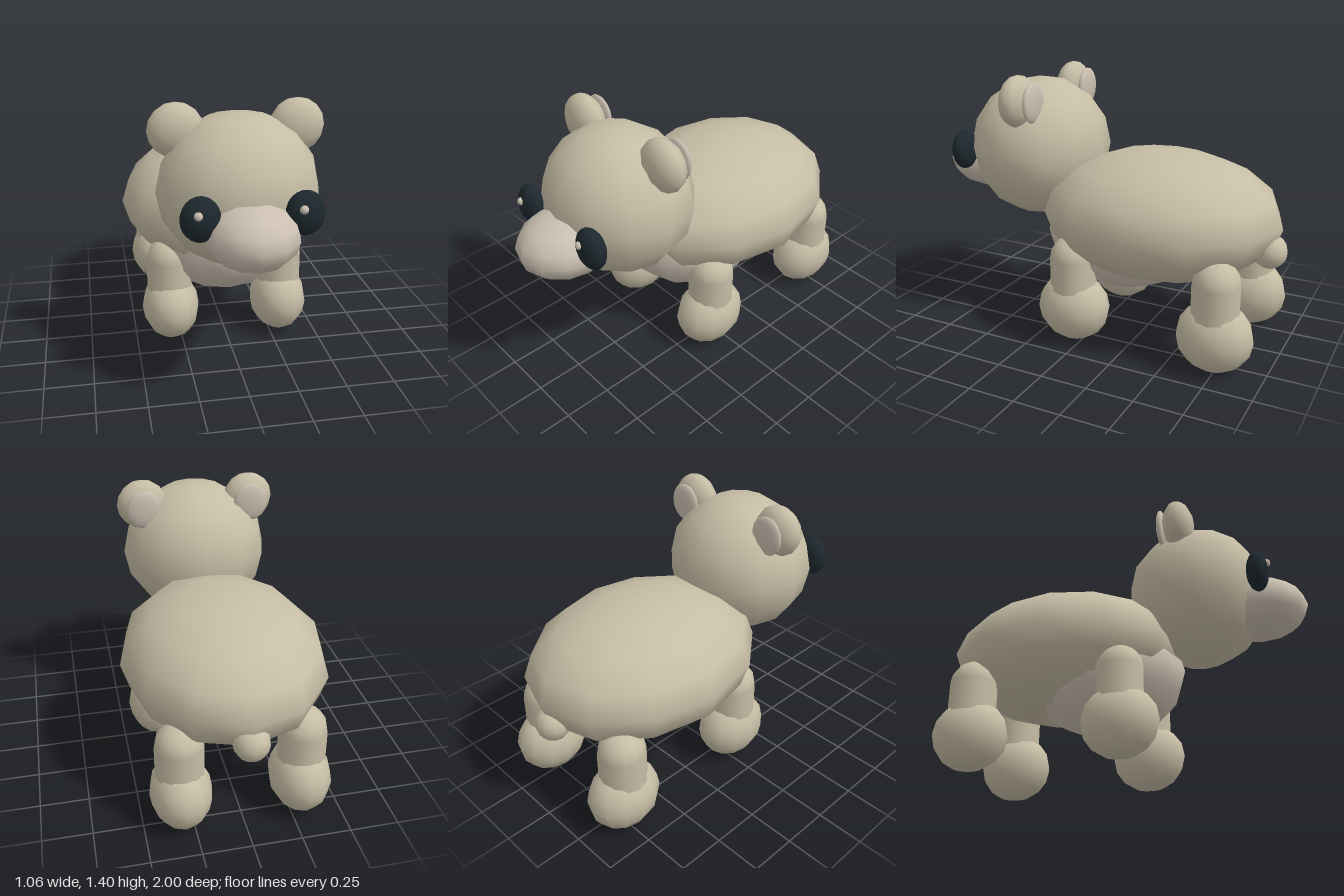
import * as THREE from 'three';

const material = (color) => new THREE.MeshStandardMaterial({ color });

export function createModel() {
  const model = new THREE.Group();
  model.name = 'bear';
  const fur = material(0xc6bda5);
  const pale = material(0xcabfb0);
  const dark = material(0x1d282e);

  const add = (name, geometry, mat, position, parent = model) => {
    const mesh = new THREE.Mesh(geometry, mat);
    mesh.name = name;
    mesh.position.set(...position);
    parent.add(mesh);
    return mesh;
  };

  // Coarse, smooth-shaded ellipsoid with its poles up and down
  const ellipsoid = (name, mat, position, radii, parent, w = 12, h = 8) =>
    add(name, new THREE.SphereGeometry(1, w, h).scale(...radii), mat, position, parent);

  // Torso
  ellipsoid('body', fur, [0, 0.68, -0.315], [0.53, 0.34, 0.655]);
  ellipsoid('belly', pale, [0, 0.55, -0.105], [0.37, 0.31, 0.435]);
  ellipsoid('tail', fur, [0, 0.56, -0.91], [0.09, 0.09, 0.09]);

  // Head
  const head = new THREE.Group();
  head.name = 'head';
  model.add(head);
  ellipsoid('skull', fur, [0, 0.973, 0.418], [0.405, 0.382, 0.38], head);
  ellipsoid('muzzle', pale, [0, 0.858, 0.74], [0.225, 0.158, 0.26], head);

  for (const side of [-1, 1]) {
    const label = side > 0 ? 'left' : 'right';

    // Ears, with a thin disc behind each
    ellipsoid(label + 'Ear', fur, [side * 0.297, 1.265, 0.375], [0.138, 0.136, 0.085], head);
    ellipsoid(label + 'EarDisc', pale, [side * 0.295, 1.263, 0.285], [0.097, 0.106, 0.026], head);

    // Eyes, with both glints shifted to the same side
    ellipsoid(label + 'Eye', dark, [side * 0.24, 0.957, 0.768], [0.094, 0.108, 0.058], head, 16, 12);
    ellipsoid(label + 'EyeGlint', pale, [side * 0.238 - 0.018, 0.99, 0.817], [0.021, 0.021, 0.021], head, 10, 8);

    // Legs and paws
    for (const [end, z] of [['Front', 0.055], ['Hind', -0.737]]) {
      const leg = new THREE.Group();
      leg.name = label + end + 'Leg';
      model.add(leg);
      add('shin', new THREE.CapsuleGeometry(0.123, 0.22, 4, 12), fur, [side * 0.308, 0.355, z], leg);
      ellipsoid('paw', fur, [side * 0.305, 0.185, z], [0.157, 0.185, 0.2], leg);
    }
  }

  return model;
}
